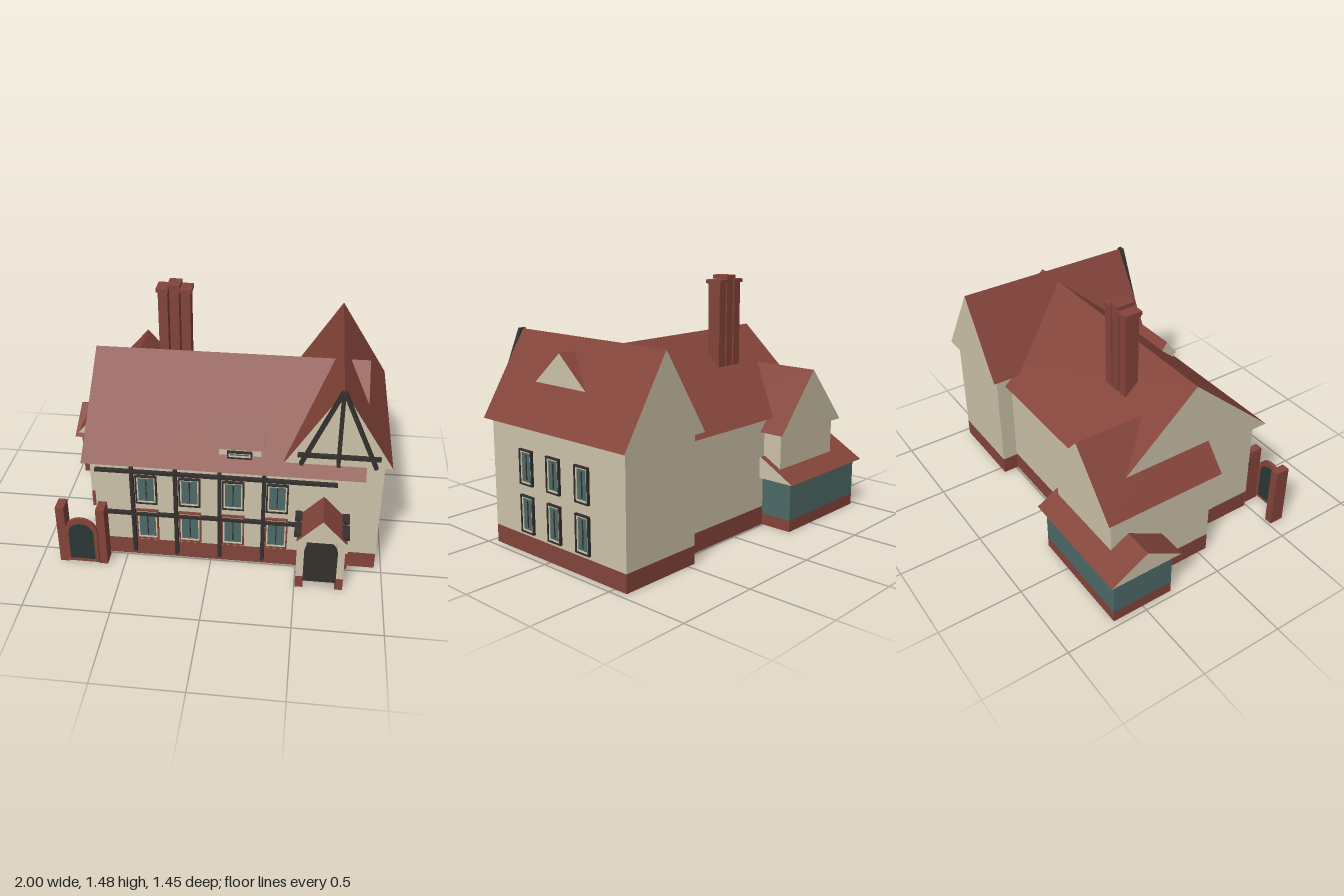
import * as THREE from 'three';

const mat = (color) => new THREE.MeshStandardMaterial({ color });

export function createModel() {
  const house = new THREE.Group();
  house.name = 'house';
  const red = mat(0x84443a), cream = mat(0xcdc3a9), glass = mat(0x4d6b68), dark = mat(0x34302d), gateDark = mat(0x2b3836);

  const add = (name, geometry, material, parent = house) => {
    const mesh = new THREE.Mesh(geometry, material);
    mesh.name = name;
    parent.add(mesh);
    return mesh;
  };
  // Box given by its extents
  const box = (name, x0, x1, y0, y1, z0, z1, material, parent) => {
    const g = new THREE.BoxGeometry(x1 - x0, y1 - y0, z1 - z0);
    g.translate((x0 + x1) / 2, (y0 + y1) / 2, (z0 + z1) / 2);
    return add(name, g, material, parent);
  };
  // Gable roof: cream triangular ends, tiled slopes; ridge along x or z
  const roof = (name, axis, x0, x1, eaves, ridge, z0, z1) => {
    const along = axis === 'x';
    const half = (along ? z1 - z0 : x1 - x0) / 2, length = along ? x1 - x0 : z1 - z0;
    const shape = new THREE.Shape([
      new THREE.Vector2(-half, eaves), new THREE.Vector2(half, eaves), new THREE.Vector2(0, ridge)]);
    const g = new THREE.ExtrudeGeometry(shape, { depth: length, bevelEnabled: false });
    g.translate(0, 0, -length / 2);
    if (along) g.rotateY(Math.PI / 2);
    g.translate((x0 + x1) / 2, 0, (z0 + z1) / 2);
    return add(name, g, [cream, red]);
  };
  // Rendered walls on a brick plinth
  const walls = (name, x0, x1, z0, z1, plinth, top, material = cream) => {
    box(name + 'Plinth', x0, x1, 0, plinth, z0, z1, red);
    box(name + 'Walls', x0, x1, plinth, top, z0, z1, material);
  };
  // Timber between two points on a plane of constant z
  const beam = (name, x0, y0, x1, y1, z, width = 0.022) => {
    const g = new THREE.BoxGeometry(width, Math.hypot(x1 - x0, y1 - y0), 0.025);
    g.rotateZ(-Math.atan2(x1 - x0, y1 - y0));
    g.translate((x0 + x1) / 2, (y0 + y1) / 2, z);
    return add(name, g, dark);
  };
  // Round-headed panel outline
  const arch = (Type, x0, x1, y0, y1) => {
    const r = (x1 - x0) / 2, s = new Type();
    s.moveTo(x0, y0);
    s.lineTo(x1, y0);
    s.lineTo(x1, y1 - r);
    s.absarc((x0 + x1) / 2, y1 - r, r, 0, Math.PI, false);
    s.lineTo(x0, y0);
    return s;
  };
  const panel = (name, shape, z0, z1, material) => {
    const g = new THREE.ExtrudeGeometry(shape, { depth: z1 - z0, bevelEnabled: false, curveSegments: 16 });
    g.translate(0, 0, z0);
    return add(name, g, material);
  };
  // Window facing +z at the origin: frame, lining, pane and mullion
  const makeWindow = (name, w, h, frameMaterial) => {
    const group = new THREE.Group();
    group.name = name;
    const border = (part, bw, bh, t, depth, material) => {
      for (const s of [-1, 1]) {
        const x = s * (bw - t) / 2, y = s * (bh - t) / 2;
        box(part, x - t / 2, x + t / 2, -bh / 2, bh / 2, 0, depth, material, group);
        box(part, -bw / 2 + t, bw / 2 - t, y - t / 2, y + t / 2, 0, depth, material, group);
      }
    };
    border('windowFrame', w, h, 0.009, 0.018, frameMaterial);
    border('windowLining', w - 0.018, h - 0.018, 0.008, 0.013, cream);
    box('windowPane', -w / 2 + 0.015, w / 2 - 0.015, -h / 2 + 0.015, h / 2 - 0.015, 0, 0.008, glass, group);
    box('windowMullion', -0.003, 0.003, -h / 2 + 0.03, h / 2 - 0.03, 0.006, 0.012, dark, group);
    house.add(group);
    return group;
  };

  // Main range
  walls('mainRange', -0.67, 0.8, -0.49, 0.49, 0.115, 0.68);
  roof('mainRoof', 'x', -0.73, 0.86, 0.66, 1.13, -0.53, 0.53);

  // Cross wing on the model's left
  walls('crossWing', 0.45, 0.96, -0.585, 0.46, 0.105, 0.74);
  roof('crossWingRoof', 'z', 0.41, 1.0, 0.73, 1.2, -0.62, 0.49);

  // Rear wing
  walls('rearWing', -0.82, -0.285, -0.61, 0.06, 0.115, 0.59);
  roof('rearWingRoof', 'z', -0.86, -0.245, 0.58, 0.93, -0.645, 0.1);

  // Garden room
  walls('gardenRoom', -0.965, -0.28, -0.69, -0.31, 0.07, 0.3, glass);
  roof('gardenRoomRoof', 'x', -1.0, -0.245, 0.3, 0.43, -0.725, -0.27);
  box('gardenRoomLintel', -0.96, -0.84, 0.28, 0.297, -0.312, -0.295, dark);
  box('gardenRoomPost', -0.9, -0.885, 0.07, 0.28, -0.312, -0.295, dark);

  // Chimney stacks with caps, the middle one taller
  [-0.352, -0.285, -0.218].forEach((x, i) => {
    const top = i === 1 ? 1.48 : 1.455;
    box('chimneyStack', x - 0.028, x + 0.028, 0.8, top - 0.02, -0.215, -0.13, red);
    box('chimneyCap', x - 0.037, x + 0.037, top - 0.022, top, -0.225, -0.115, red);
  });

  // Dormer
  box('dormerBody', 0.045, 0.28, 0.68, 0.775, 0.32, 0.452, cream);
  roof('dormerRoof', 'x', 0.03, 0.295, 0.77, 0.87, 0.31, 0.46);
  makeWindow('dormerWindow', 0.14, 0.046, dark).position.set(0.16, 0.737, 0.45);

  // Front windows
  for (const x of [-0.37, -0.12, 0.13, 0.38]) {
    makeWindow('upperFrontWindow', 0.125, 0.195, dark).position.set(x, 0.482, 0.488);
    makeWindow('lowerFrontWindow', 0.13, 0.21, red).position.set(x, 0.235, 0.488);
  }
  // Side windows
  for (const z of [0.17, -0.052, -0.275]) {
    for (const [y, h] of [[0.5, 0.2], [0.233, 0.215]]) {
      const w = makeWindow('sideWindow', 0.105, h, dark);
      w.position.set(0.957, y, z);
      w.rotation.y = Math.PI / 2;
    }
  }

  // Timber framing
  for (const x of [-0.45, -0.2, 0.053, 0.303]) beam('wallStud', x, 0.035, x, 0.66, 0.5);
  beam('upperRail', -0.66, 0.607, 0.71, 0.607, 0.5, 0.018);
  beam('lowerRail', -0.66, 0.312, 0.6, 0.312, 0.5, 0.018);
  beam('gablePost', 0.703, 0.735, 0.703, 1.19, 0.502);
  beam('gableTie', 0.48, 0.795, 0.93, 0.795, 0.5, 0.02);
  for (const s of [-1, 1]) beam('gableBrace', 0.704 + s * 0.205, 0.735, 0.704 + s * 0.004, 1.2, 0.502);

  // Porch
  roof('porchRoof', 'z', 0.502, 0.778, 0.37, 0.515, 0.47, 0.72);
  for (const x of [0.527, 0.752]) {
    for (const [z0, z1] of [[0.485, 0.535], [0.625, 0.672]]) {
      box('porchPostBase', x - 0.023, x + 0.023, 0, 0.08, z0, z1, red);
      box('porchPost', x - 0.022, x + 0.022, 0.08, 0.375, z0, z1, cream);
    }
    const bx = x < 0.64 ? 0.506 : 0.77;
    box('porchBracket', bx - 0.02, bx + 0.02, 0.38, 0.405, 0.49, 0.56, dark);
    box('porchBracket', bx - 0.02, bx + 0.02, 0.38, 0.405, 0.595, 0.695, dark);
  }
  panel('porchArch', arch(THREE.Shape, 0.547, 0.732, 0.088, 0.375), 0.695, 0.715, dark);
  box('doorFrame', 0.56, 0.715, 0.02, 0.34, 0.48, 0.5, dark);
  box('door', 0.572, 0.703, 0.035, 0.32, 0.49, 0.506, red);

  // Garden gate
  for (const x of [-0.86, -0.625]) box('gatePillar', x - 0.025, x + 0.025, 0, 0.39, 0.515, 0.605, red);
  const surround = arch(THREE.Shape, -0.837, -0.645, 0.02, 0.33);
  surround.holes.push(arch(THREE.Path, -0.815, -0.667, 0.035, 0.295));
  panel('gateSurround', surround, 0.6, 0.62, red);
  panel('gateDoor', arch(THREE.Shape, -0.815, -0.667, 0.035, 0.295), 0.602, 0.614, gateDark);

  return house;
}
